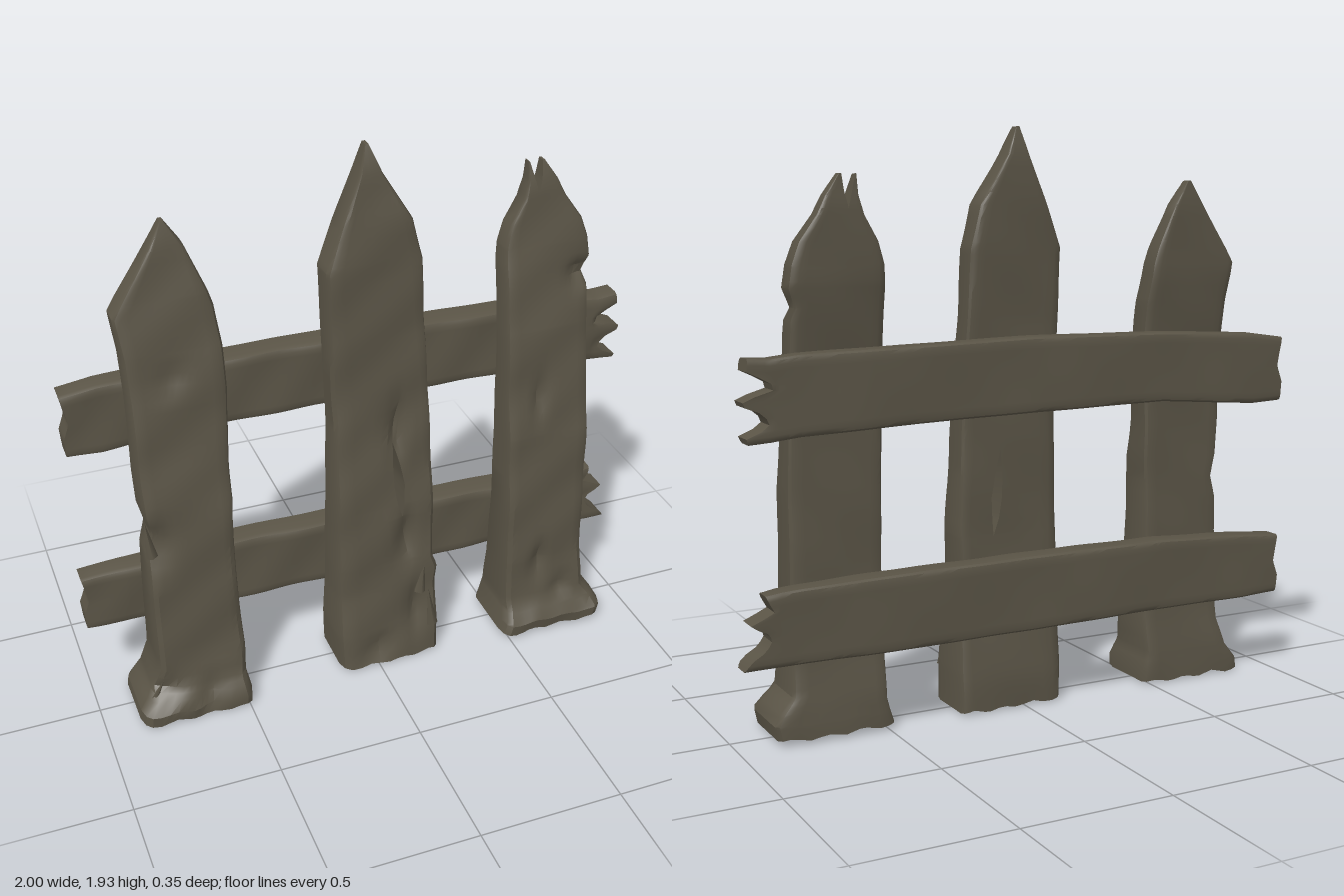
import * as THREE from 'three';
import { toCreasedNormals } from 'three/addons/utils/BufferGeometryUtils.js';

// Linear interpolation in a table of rows [key, value, value...]
function sample(table, a) {
  if (a <= table[0][0]) return table[0].slice(1);
  for (let i = 1; i < table.length; i++) {
    const p = table[i - 1], q = table[i];
    if (a <= q[0]) {
      const t = (a - p[0]) / (q[0] - p[0]);
      return p.slice(1).map((v, k) => v + (q[k + 1] - v) * t);
    }
  }
  return table[table.length - 1].slice(1);
}

// Column fractions across each half of a plank, outer edge to split line
const COLS = [0, 0.05, 0.15, 0.3, 0.45, 0.6, 0.75, 0.88, 1];

// Plank built from cross-sections along its length.
// edges: [a, low, high]; depth: [a, front, back]; split: [a, low, high] of a crack (open where they differ)
// dents: [cross, along, rx, ry, depth] on the front; startJag / endJag: ragged ends by cross fraction
function plank({ edges, depth, split, dents = [], startJag, endJag, jagReach = 0.12, phase = 0, alongX = false }) {
  const first = edges[0][0], last = edges[edges.length - 1][0];
  const keys = [...edges, ...(split || [])].map(r => r[0]);
  for (let a = first; a < last; a += 0.04) keys.push(a);
  const sorted = keys.filter(a => a >= first && a <= last).sort((p, q) => p - q);
  const rows = sorted.filter((a, i) => i === 0 || a - sorted[i - 1] > 0.004 || a === last);
  const gaps = [];

  const grid = rows.map((a, i) => {
    const [lo, hi] = sample(edges, a), [zf, zb] = sample(depth, a);
    const mid = (lo + hi) / 2;
    const [sl, sh] = split ? sample(split, a) : [mid, mid];
    gaps[i] = sh - sl;
    const point = (c, edge) => {
      const u = (c - lo) / Math.max(hi - lo, 1e-4), thick = zf - zb;
      let along = a;
      if (startJag) along += sample(startJag, u)[0] * Math.max(0, 1 - (a - first) / jagReach);
      if (endJag) along += sample(endJag, u)[0] * Math.max(0, 1 - (last - a) / jagReach);
      const wave = 0.004 * Math.sin(9 * a + 11 * c + phase) + 0.003 * Math.sin(23 * a - 17 * c + phase);
      let front = zf + wave - thick * 0.2 * edge;
      for (const [cx, ay, rx, ry, d] of dents)
        front -= d * Math.exp(-(((c - cx) / rx) ** 2) - ((a - ay) / ry) ** 2);
      const back = zb + wave * 0.5 + thick * 0.1 * edge;
      const place = z => alongX ? [along, c, z] : [c, along, z];
      return [place(front), place(back)];
    };
    const bevel = k => [1, 0.3][k] || 0;
    return [
      COLS.map((f, k) => point(lo + (sl - lo) * f, bevel(k))),
      COLS.map((f, k) => point(hi + (sh - hi) * f, bevel(k))).reverse()
    ];
  });

  const pos = [];
  const quad = (a, b, c, d) => {
    const order = alongX ? [a, c, b, a, d, c] : [a, b, c, a, c, d];
    for (const p of order) pos.push(...p);
  };
  const n = COLS.length - 1;
  for (let h = 0; h < 2; h++) {
    for (let i = 0; i < rows.length - 1; i++) {
      const r = grid[i][h], s = grid[i + 1][h];
      for (let j = 0; j < n; j++) {
        quad(r[j][0], r[j + 1][0], s[j + 1][0], s[j][0]);
        quad(r[j + 1][1], r[j][1], s[j][1], s[j + 1][1]);
      }
      // Outer sides, and crack walls where the split is open
      const open = gaps[i] > 1e-4 || gaps[i + 1] > 1e-4;
      if (h === 0 || open) quad(r[0][1], r[0][0], s[0][0], s[0][1]);
      if (h === 1 || open) quad(r[n][0], r[n][1], s[n][1], s[n][0]);
    }
    // End caps
    const b = grid[0][h], t = grid[rows.length - 1][h];
    for (let j = 0; j < n; j++) {
      quad(b[j][1], b[j + 1][1], b[j + 1][0], b[j][0]);
      quad(t[j][0], t[j + 1][0], t[j + 1][1], t[j][1]);
    }
  }
  const geo = new THREE.BufferGeometry();
  geo.setAttribute('position', new THREE.Float32BufferAttribute(pos, 3));
  return toCreasedNormals(geo, 0.6);
}

export function createModel() {
  const group = new THREE.Group();
  const wood = new THREE.MeshStandardMaterial({ color: 0x5a5446 });
  wood.name = 'weatheredWood';
  const add = (name, geo) => {
    const mesh = new THREE.Mesh(geo, wood);
    mesh.name = name;
    group.add(mesh);
    return mesh;
  };

  // Pickets: flared feet, leaning slightly back towards the points
  const foot = [[0, 0.01], [0.15, 0.0], [0.3, 0.015], [0.45, 0], [0.6, 0.012], [0.75, 0.0], [0.9, 0.015], [1, 0.005]];
  const outerDepth = [[0, 0.16, -0.115], [0.05, 0.165, -0.115], [0.12, 0.12, -0.11], [0.25, 0.1, -0.09], [0.5, 0.09, -0.075],
    [0.8, 0.07, -0.075], [1, 0.04, -0.075], [1.2, 0.025, -0.08], [1.45, -0.015, -0.115], [1.68, -0.055, -0.12], [1.78, -0.085, -0.11]];
  const middleDepth = [[0, 0.12, -0.11], [0.1, 0.11, -0.11], [0.3, 0.09, -0.085], [0.6, 0.075, -0.075], [0.9, 0.05, -0.075],
    [1.05, 0.035, -0.075], [1.3, 0.028, -0.08], [1.55, 0.025, -0.09], [1.7, 0.015, -0.095], [1.85, -0.015, -0.095], [1.93, -0.045, -0.075]];

  add('rightHandPicket', plank({
    edges: [[0, -0.88, -0.48], [0.04, -0.875, -0.48], [0.1, -0.83, -0.49], [0.2, -0.8, -0.485], [0.5, -0.8, -0.5], [0.64, -0.795, -0.5],
      [0.72, -0.775, -0.5], [0.8, -0.795, -0.495], [0.92, -0.8, -0.495], [1.2, -0.8, -0.482], [1.35, -0.805, -0.485],
      [1.48, -0.82, -0.5], [1.53, -0.79, -0.515], [1.68, -0.69, -0.575], [1.76, -0.64, -0.628]],
    depth: outerDepth, startJag: foot, phase: 1,
    dents: [[-0.66, 1.26, 0.05, 0.03, 0.02], [-0.76, 0.68, 0.04, 0.08, 0.03], [-0.63, 0.07, 0.04, 0.05, 0.03], [-0.8, 0.12, 0.04, 0.04, 0.03]]
  }));

  add('middlePicket', plank({
    edges: [[0, -0.14, 0.235], [0.15, -0.145, 0.235], [0.3, -0.14, 0.228], [0.36, -0.14, 0.235], [0.41, -0.14, 0.215], [0.6, -0.138, 0.225],
      [1, -0.13, 0.21], [1.3, -0.14, 0.195], [1.54, -0.145, 0.185], [1.68, -0.09, 0.15], [1.84, -0.022, 0.055], [1.93, 0.005, 0.016]],
    depth: middleDepth, startJag: foot, phase: 2.5,
    // Long crack that opens into a narrow hole
    split: [[0, 0.1, 0.1], [0.42, 0.125, 0.125], [0.59, 0.102, 0.102], [0.65, 0.083, 0.108], [0.72, 0.073, 0.112],
      [0.8, 0.07, 0.097], [0.88, 0.077, 0.077], [1.04, 0.1, 0.1], [1.5, 0.03, 0.03], [1.93, 0.01, 0.01]],
    dents: [[0.09, 0.93, 0.025, 0.1, 0.035], [0.115, 0.51, 0.03, 0.09, 0.035], [0.15, 0.2, 0.03, 0.1, 0.025], [0, 0.06, 0.04, 0.04, 0.025]]
  }));

  add('leftHandPicket', plank({
    edges: [[0.01, 0.475, 0.87], [0.06, 0.49, 0.88], [0.1, 0.5, 0.86], [0.15, 0.5, 0.82], [0.3, 0.5, 0.81], [0.8, 0.5, 0.81],
      [1.2, 0.495, 0.802], [1.33, 0.495, 0.8], [1.37, 0.495, 0.79], [1.43, 0.495, 0.81], [1.5, 0.5, 0.8], [1.57, 0.52, 0.775],
      [1.65, 0.565, 0.72], [1.71, 0.583, 0.69], [1.775, 0.588, 0.645]],
    depth: outerDepth, startJag: foot, phase: 4,
    // Forked, splintered tip
    split: [[0, 0.65, 0.65], [1.4, 0.65, 0.65], [1.67, 0.618, 0.618], [1.72, 0.605, 0.63], [1.775, 0.591, 0.637]],
    dents: [[0.62, 0.94, 0.025, 0.07, 0.025], [0.63, 0.29, 0.025, 0.06, 0.025], [0.77, 1.38, 0.04, 0.04, 0.035], [0.72, 0.16, 0.04, 0.04, 0.025]]
  }));

  // Rails behind the pickets, broken at one end
  const railDepth = [[-1, -0.085, -0.17], [-0.5, -0.073, -0.172], [0, -0.07, -0.172], [0.6, -0.07, -0.175], [1, -0.085, -0.165]];
  const railStart = [[0, 0.005], [0.3, 0], [0.55, 0.02], [0.75, 0.012], [1, 0]];
  add('upperRail', plank({
    alongX: true, depth: railDepth, startJag: railStart, phase: 0.5,
    edges: [[-1, 0.99, 1.215], [-0.88, 0.985, 1.232], [-0.5, 1.015, 1.25], [0, 1.008, 1.255], [0.4, 1.0, 1.245],
      [0.8, 0.985, 1.235], [0.9, 0.975, 1.225], [0.985, 0.97, 1.23]],
    endJag: [[0, -0.02], [0.1, -0.01], [0.18, -0.09], [0.35, -0.07], [0.46, 0.005], [0.54, -0.01], [0.6, -0.1], [0.74, -0.09], [0.82, -0.015], [1, -0.02]]
  }));
  add('lowerRail', plank({
    alongX: true, depth: railDepth, startJag: railStart, phase: 3,
    edges: [[-1, 0.29, 0.5], [-0.85, 0.285, 0.512], [-0.5, 0.285, 0.53], [0, 0.278, 0.528], [0.4, 0.275, 0.525],
      [0.8, 0.278, 0.515], [0.985, 0.275, 0.505]],
    endJag: [[0, 0.01], [0.12, -0.01], [0.25, -0.06], [0.4, -0.08], [0.52, -0.06], [0.6, -0.005], [0.66, -0.02], [0.75, -0.09], [0.9, -0.07], [1, -0.06]]
  }));

  // Loose splinters on the picket faces and feet: [x, y, z, length, tilt]
  [[0.17, 0.33, 0.09, 0.12, -0.15], [0.2, 0.2, 0.1, 0.16, 0.1], [-0.82, 0.09, 0.1, 0.14, -0.5],
    [0.82, 0.08, 0.1, 0.14, 0.5], [-0.79, 0.72, 0.06, 0.14, 0.1]].forEach(([x, y, z, length, tilt]) => {
    const splinter = add('splinter', new THREE.ConeGeometry(0.022, length, 5));
    splinter.position.set(x, y, z);
    splinter.rotation.z = tilt;
  });
  return group;
}
